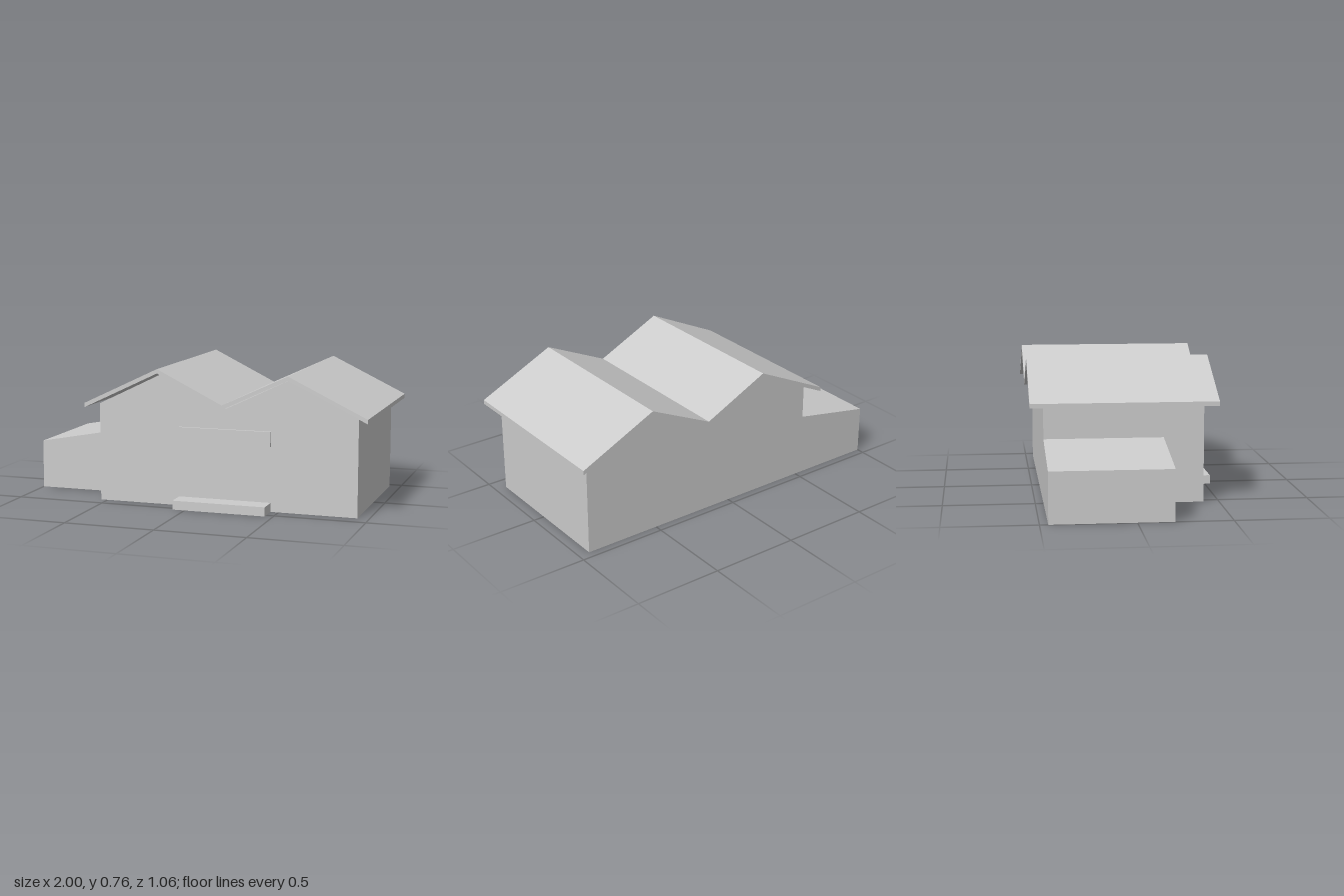
import * as THREE from 'three';

const material = new THREE.MeshStandardMaterial({ color: 0xcccccc, flatShading: true });

function add(group, name, geometry) {
  const mesh = new THREE.Mesh(geometry, material);
  mesh.name = name;
  group.add(mesh);
  return mesh;
}

// Extrudes an x-y outline from z = back to z = front
function prism(points, back, front) {
  const shape = new THREE.Shape(points.map(([x, y]) => new THREE.Vector2(x, y)));
  const geometry = new THREE.ExtrudeGeometry(shape, { depth: front - back, bevelEnabled: false });
  return geometry.translate(0, 0, back);
}

function box(x0, x1, y0, y1, z0, z1) {
  return new THREE.BoxGeometry(x1 - x0, y1 - y0, z1 - z0)
    .translate((x0 + x1) / 2, (y0 + y1) / 2, (z0 + z1) / 2);
}

export function createModel() {
  const group = new THREE.Group();
  group.name = 'twinGableBuilding';
  const wallBack = -0.455, wallFront = 0.415;

  // Main hall with two gables
  add(group, 'mainHall', prism([
    [-0.54, 0], [0.936, 0], [0.936, 0.55], [0.567, 0.73],
    [0.2, 0.553], [-0.17, 0.73], [-0.54, 0.55],
  ], wallBack, wallFront));

  // Folded roof slab overhanging every side
  const top = [[-0.6, 0.56], [-0.17, 0.765], [0.2, 0.583], [0.567, 0.754], [1, 0.545]];
  const underside = [[1, 0.521], [0.567, 0.731], [0.2, 0.559], [-0.17, 0.741], [-0.6, 0.536]];
  add(group, 'roof', prism([...top, ...underside], -0.53, 0.49));

  // Lean-to annex with a sloping top
  add(group, 'annex', prism([
    [-1, 0], [-0.54, 0], [-0.54, 0.36], [-1, 0.275],
  ], wallBack, 0.195));

  // Blank sign board and entrance step
  add(group, 'signBoard', box(-0.07, 0.456, 0.36, 0.442, wallFront, 0.431));
  add(group, 'entranceStep', box(-0.07, 0.456, 0, 0.05, wallFront, 0.53));

  return group;
}
